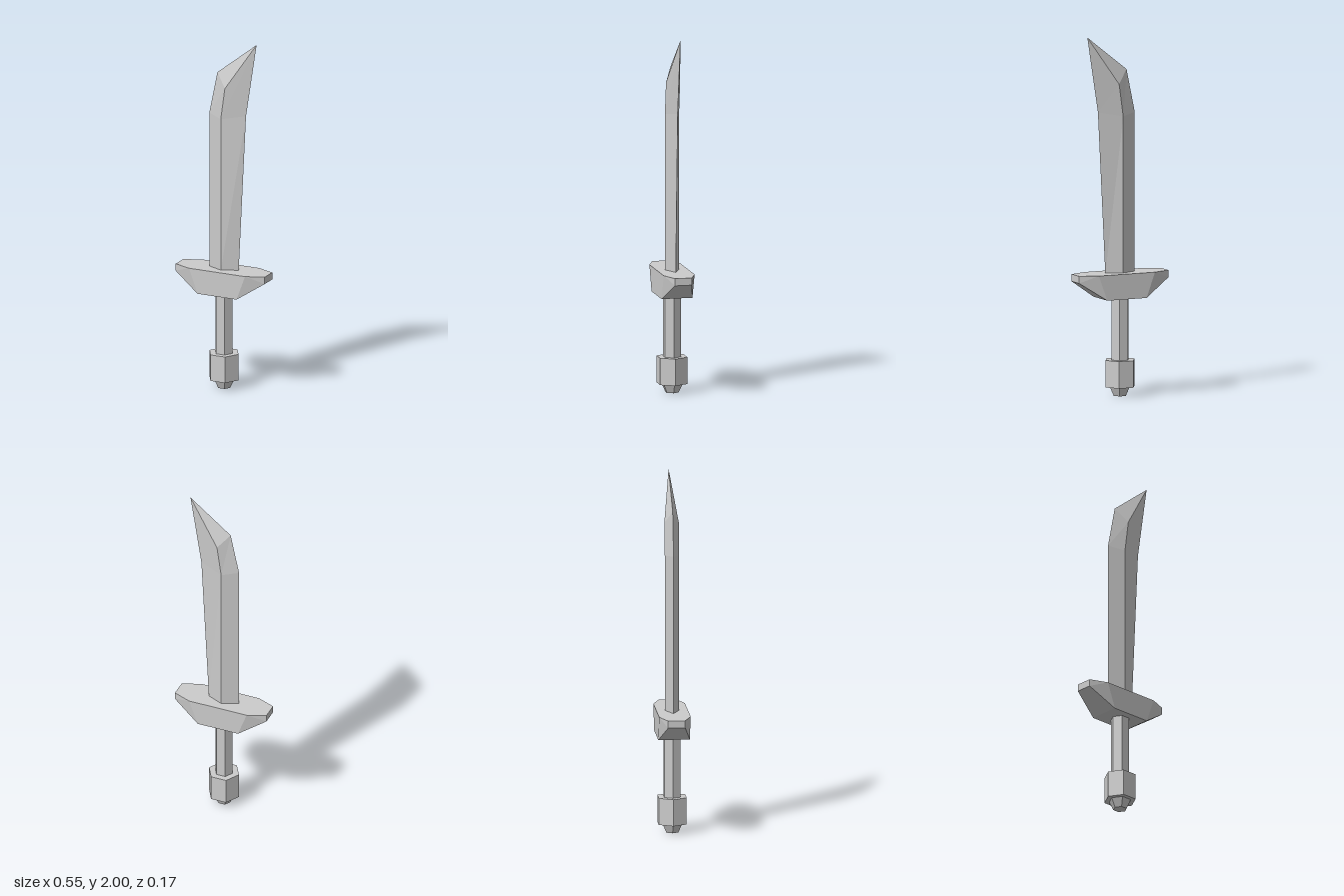
import * as THREE from 'three';
import { ConvexGeometry } from 'three/addons/geometries/ConvexGeometry.js';

const material = new THREE.MeshStandardMaterial({ color: 0xcccccc, flatShading: true });

function addPart(group, name, geometry) {
  const mesh = new THREE.Mesh(geometry, material);
  mesh.name = name;
  group.add(mesh);
}

// Six-sided prism between two heights, with corners on the x axis
function hexPrism(bottomRadius, topRadius, y0, y1) {
  return new THREE.CylinderGeometry(topRadius, bottomRadius, y1 - y0, 6, 1, false, Math.PI / 2)
    .translate(0, (y0 + y1) / 2, 0);
}

// Diamond-section blade; each section gives [x, y] of spine, ridge and cutting edge
function bladeGeometry() {
  const ridge = 0.04;
  const sections = [
    [[-0.09, 0.68], [0, 0.68], [0.09, 0.68]],
    [[-0.09, 1.57], [0, 1.555], [0.135, 1.58]],
    [[-0.04, 1.81], [0.025, 1.735], [0.2, 2]],
  ];
  const positions = [];
  for (const [spine, mid, edge] of sections) {
    positions.push(...spine, 0, ...mid, ridge, ...edge, 0, ...mid, -ridge);
  }
  const index = [0, 2, 1, 0, 3, 2];
  const last = (sections.length - 1) * 4;
  for (let s = 0; s < last; s += 4) {
    for (let i = 0; i < 4; i++) {
      const a = s + i, b = s + (i + 1) % 4;
      index.push(a, b, b + 4, a, b + 4, a + 4);
    }
  }
  // Slanted point: two facets meeting along the line from spine to tip
  index.push(last, last + 1, last + 2, last, last + 2, last + 3);

  const indexed = new THREE.BufferGeometry();
  indexed.setAttribute('position', new THREE.Float32BufferAttribute(positions, 3));
  indexed.setIndex(index);
  const geometry = indexed.toNonIndexed();
  geometry.computeVertexNormals();
  return geometry;
}

// Faceted crossguard: one corner's points mirrored in x and z
function guardGeometry() {
  const corner = [
    [0.172, 0.685, 0.087],
    [0.273, 0.685, 0.047],
    [0.273, 0.645, 0.047],
    [0.12, 0.545, 0.087],
  ];
  const points = [];
  for (const sx of [-1, 1]) {
    for (const sz of [-1, 1]) {
      for (const [x, y, z] of corner) points.push(new THREE.Vector3(sx * x, y, sz * z));
    }
  }
  return new ConvexGeometry(points);
}

export function createModel() {
  const sword = new THREE.Group();
  sword.name = 'sword';
  addPart(sword, 'blade', bladeGeometry());
  addPart(sword, 'guard', guardGeometry());
  addPart(sword, 'grip', hexPrism(0.052, 0.052, 0.19, 0.55));
  addPart(sword, 'pommel', hexPrism(0.089, 0.089, 0.05, 0.2));
  addPart(sword, 'pommelCap', hexPrism(0.038, 0.062, 0, 0.05));
  return sword;
}
